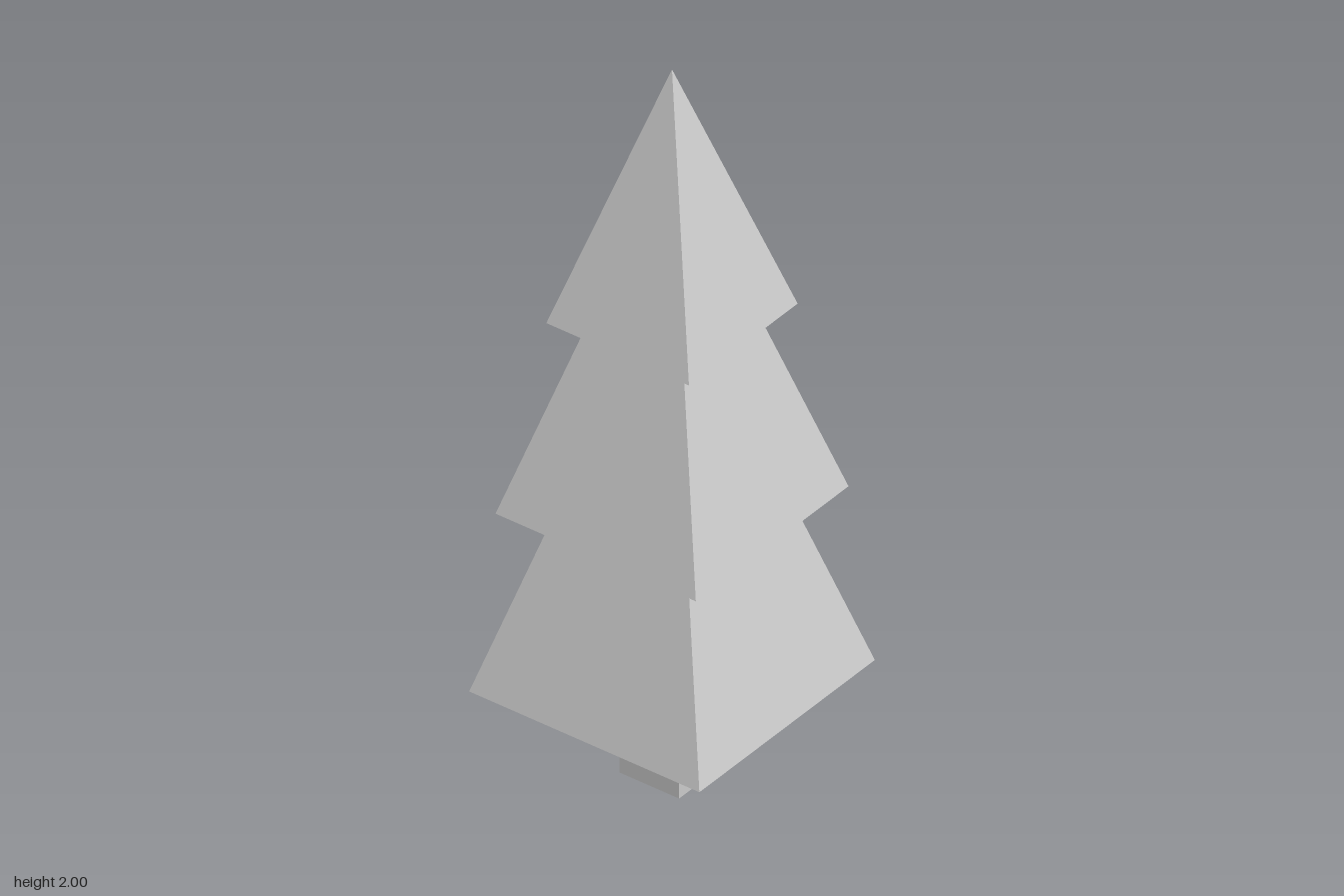
import * as THREE from 'three';

const material = new THREE.MeshStandardMaterial({ color: 0xcccccc, flatShading: true });

// Square tapered block, given half-widths at the bottom and top
function squareTier(name, y0, y1, halfBottom, halfTop) {
  const geometry = new THREE.CylinderGeometry(
    halfTop * Math.SQRT2, halfBottom * Math.SQRT2, y1 - y0, 4, 1);
  geometry.rotateY(Math.PI / 4);
  geometry.translate(0, (y0 + y1) / 2, 0);
  const mesh = new THREE.Mesh(geometry, material);
  mesh.name = name;
  return mesh;
}

export function createModel() {
  const tree = new THREE.Group();
  tree.name = 'pineTree';

  // Trunk
  tree.add(squareTier('trunk', 0, 0.265, 0.088, 0.088));

  // Foliage: two cut pyramids under a pointed one
  tree.add(squareTier('lowerFoliage', 0.265, 0.768, 0.339, 0.192));
  tree.add(squareTier('middleFoliage', 0.768, 1.302, 0.295, 0.138));
  tree.add(squareTier('upperFoliage', 1.302, 2, 0.21, 0));

  return tree;
}
